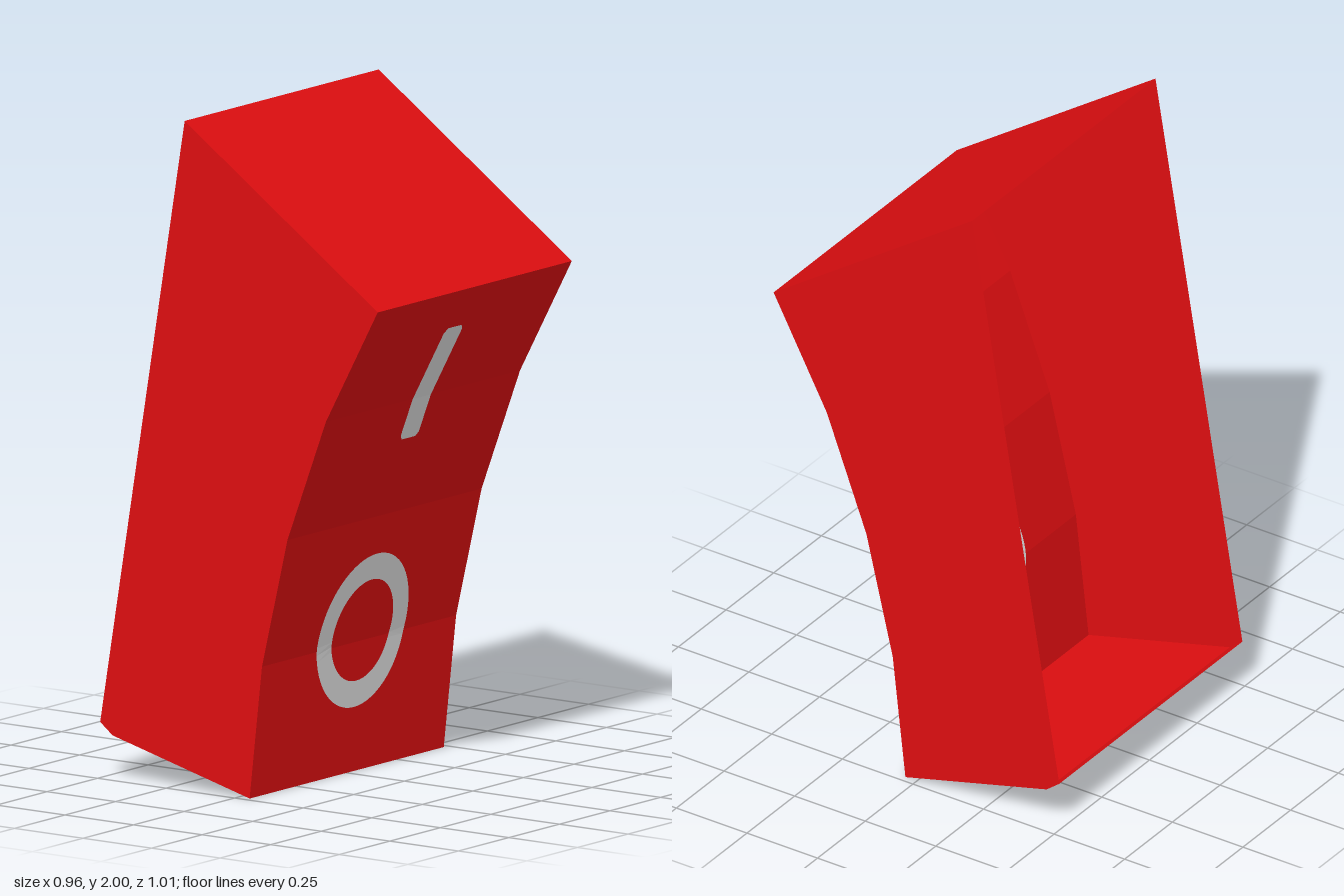
import * as THREE from 'three';

const HALF = 0.48;
// side profile as [z, y], from the rear lip under the base, up the curved face, to the top rear edge
const PROFILE = [
  [-0.505, 0.165], [-0.46, 0.13], [0.04, 0], [0.085, 0.4], [0.178, 0.79],
  [0.318, 1.16], [0.507, 1.51], [-0.197, 2],
];
const FACE = PROFILE.slice(2, 7);

// depth of the curved face at height y
function faceZ(y) {
  let i = 0;
  while (i < FACE.length - 2 && y > FACE[i + 1][1]) i++;
  const [z0, y0] = FACE[i], [z1, y1] = FACE[i + 1];
  return z0 + (z1 - z0) * (y - y0) / (y1 - y0);
}

// flat-shaded ribbon through pairs of points
function ribbon(pairs) {
  const pos = [];
  for (let i = 0; i + 1 < pairs.length; i++) {
    const [a, b] = pairs[i], [c, d] = pairs[i + 1];
    pos.push(...a, ...b, ...d, ...a, ...d, ...c);
  }
  const g = new THREE.BufferGeometry();
  g.setAttribute('position', new THREE.Float32BufferAttribute(pos, 3));
  g.computeVertexNormals();
  return g;
}

export function createModel() {
  const group = new THREE.Group();
  const red = new THREE.MeshStandardMaterial({ color: 0xdd0e10, side: THREE.DoubleSide });
  red.name = 'red plastic';
  const white = new THREE.MeshStandardMaterial({ color: 0xdedede, side: THREE.DoubleSide });
  white.name = 'white marking';

  const add = (name, geometry, material) => {
    const mesh = new THREE.Mesh(geometry, material);
    mesh.name = name;
    group.add(mesh);
  };

  // base, curved face and top of the open-backed shell
  add('rockerShell', ribbon(PROFILE.map(([z, y]) => [[-HALF, y, z], [HALF, y, z]])), red);

  // side walls
  for (const s of [-1, 1]) {
    const shape = new THREE.Shape(PROFILE.map(([z, y]) => new THREE.Vector2(-s * z, y)));
    const wall = new THREE.ShapeGeometry(shape).rotateY(s * Math.PI / 2).translate(s * HALF, 0, 0);
    add(s > 0 ? 'leftWall' : 'rightWall', wall, red);
  }

  // markings follow the curved face and show on both of its sides
  const barRows = [[1.032, 0.033], [1.045, 0.045], [1.16, 0.045], [1.37, 0.045], [1.385, 0.033]];
  for (const [side, offset] of [['outer', 0.003], ['inner', -0.003]]) {
    const onFace = (x, y) => [x, y, faceZ(y) + offset];
    add(side + 'BarMark', ribbon(barRows.map(([y, w]) => [onFace(-0.01 - w, y), onFace(-0.01 + w, y)])), white);

    const ring = [];
    for (let i = 0; i <= 64; i++) {
      const t = i / 64 * Math.PI * 2, c = Math.cos(t), s = Math.sin(t);
      ring.push([onFace(0.145 * c, 0.435 + 0.155 * s), onFace(0.217 * c, 0.435 + 0.235 * s)]);
    }
    add(side + 'RingMark', ribbon(ring), white);
  }
  return group;
}
